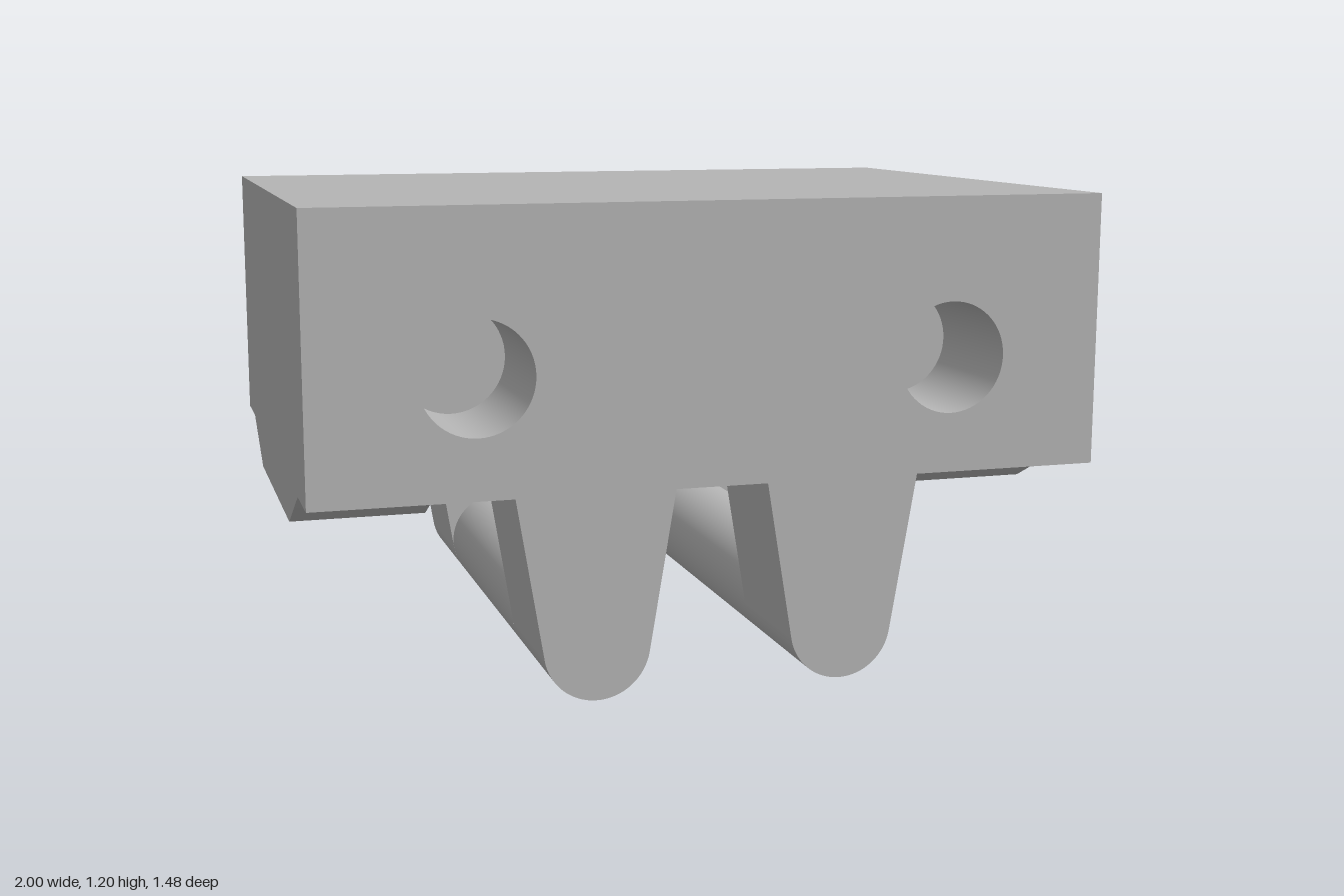
import * as THREE from 'three';
import { toCreasedNormals } from 'three/addons/utils/BufferGeometryUtils.js';

const TOP = 1.2, UNDER = 0.51, HALF_Z = 0.74, INNER_Z = 0.4;
const TOOTH_X = 0.315, TOOTH_R = 0.133, TOOTH_HALF = 0.198, TAPER = 0.165;

// Block end outline with two tapered, round-tipped teeth and two bolt holes
function endShape() {
  const s = new THREE.Shape();
  s.moveTo(-1, TOP);
  s.lineTo(-1, UNDER);
  for (const x of [-TOOTH_X, TOOTH_X]) {
    s.lineTo(x - TOOTH_HALF, UNDER);
    s.absarc(x, TOOTH_R, TOOTH_R, Math.PI + TAPER, 2 * Math.PI - TAPER, false);
    s.lineTo(x + TOOTH_HALF, UNDER);
  }
  s.lineTo(1, UNDER);
  s.lineTo(1, TOP);
  s.closePath();
  for (const x of [-0.6, 0.6]) {
    s.holes.push(new THREE.Path().absarc(x, 0.8, 0.14, 0, Math.PI * 2, true));
  }
  return s;
}

function extrude(shape, depth) {
  const g = new THREE.ExtrudeGeometry(shape, { depth, bevelEnabled: false, curveSegments: 32 });
  return toCreasedNormals(g, 0.5);
}

export function createModel() {
  const group = new THREE.Group();
  const grey = new THREE.MeshStandardMaterial({ color: 0xb4b4b4 });
  grey.name = 'grey';
  const add = (name, geometry, x = 0, y = 0, z = 0) => {
    const mesh = new THREE.Mesh(geometry, grey);
    mesh.name = name;
    mesh.position.set(x, y, z);
    group.add(mesh);
    return mesh;
  };

  // Solid middle of the block, which also closes the bolt holes
  add('blockMiddle', new THREE.BoxGeometry(2, TOP - UNDER, INNER_Z * 2), 0, (TOP + UNDER) / 2, 0);

  // Two ends carrying the teeth
  const end = extrude(endShape(), HALF_Z - INNER_Z);
  add('frontEnd', end, 0, 0, INNER_Z);
  add('backEnd', end, 0, 0, -HALF_Z);

  // Side pads with sloping ends under the block
  const pad = new THREE.Shape([[-0.57, UNDER], [-0.35, 0.4], [0.35, 0.4], [0.57, UNDER]]
    .map(([z, y]) => new THREE.Vector2(z, y)));
  const padGeometry = extrude(pad, 0.34).rotateY(Math.PI / 2);

  for (const [side, sign] of [['left', 1], ['right', -1]]) {
    add(side + 'Pad', padGeometry, sign > 0 ? 0.66 : -1, 0, 0);
    // Round bar joining the front and back teeth
    const bar = new THREE.CylinderGeometry(TOOTH_R, TOOTH_R, INNER_Z * 2, 64, 1, true).rotateX(Math.PI / 2);
    add(side + 'Bar', bar, sign * TOOTH_X, TOOTH_R, 0);
  }
  return group;
}
